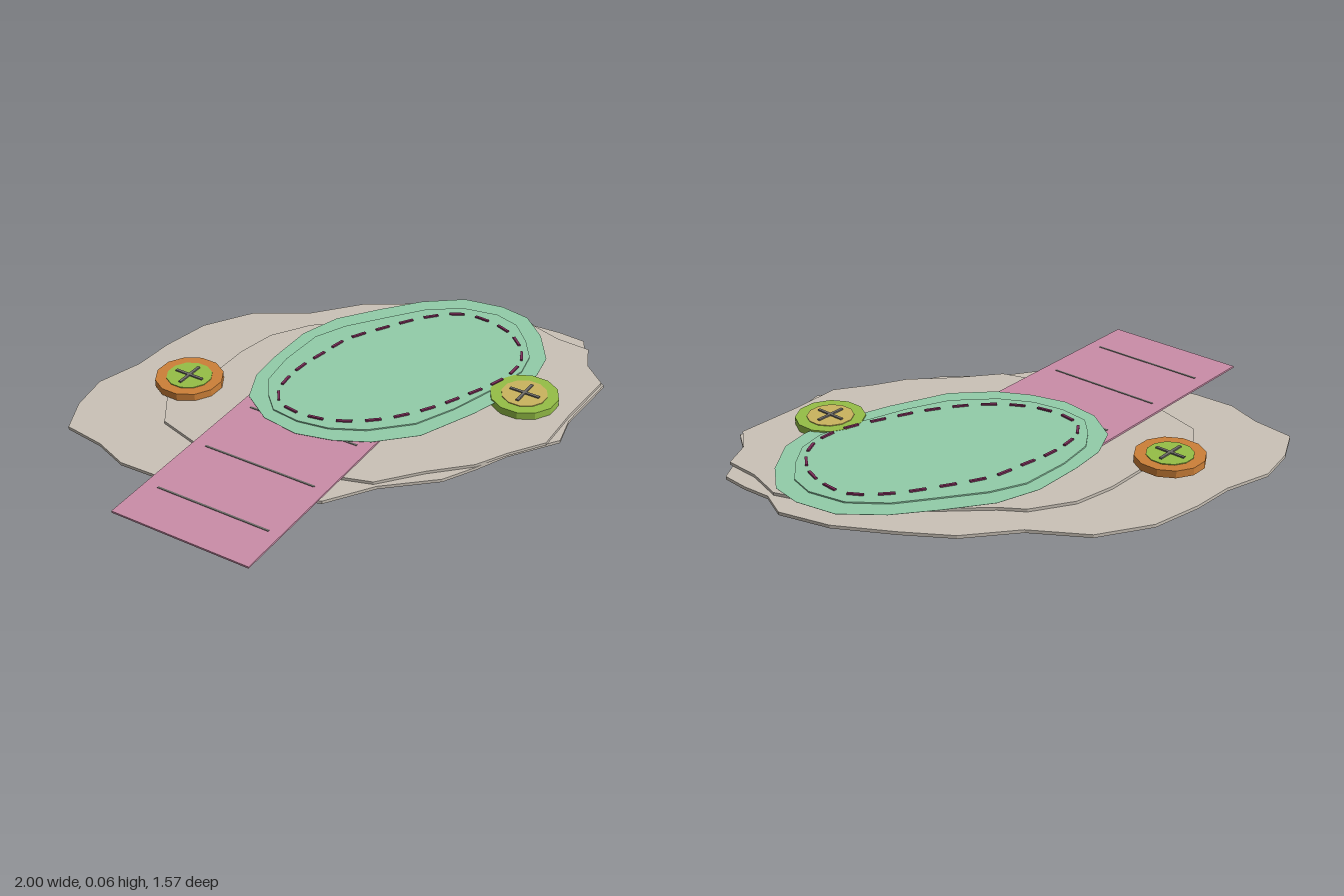
import * as THREE from 'three';

const mat = (name, color, side = THREE.FrontSide) => {
  const m = new THREE.MeshStandardMaterial({ color, side });
  m.name = name;
  return m;
};

// Outlines are [x, z] pairs in hundredths of a unit, seen from above
const BASE = [[-21, -79], [1, -74], [23, -76], [42, -72], [64, -66], [81, -56], [85, -45], [93, -38],
  [100, -30], [95, -11], [97, 1], [77, 20], [70, 31], [49, 35], [36, 40], [23, 44], [0, 43], [-20, 47],
  [-50, 33], [-72, 21], [-84, 10], [-90, -3], [-100, -16], [-95, -30], [-86, -43], [-70, -52],
  [-58, -63], [-42, -74]];
const SECOND = [[-1, -63], [9, -61], [35, -60], [62, -55], [83, -45], [90, -32], [99, -22], [95, -11],
  [96, 1], [77, 19], [64, 33], [49, 36], [36, 40], [18, 40], [-1, 42], [-11, 37], [-32, 28],
  [-57, 6], [-66, -10], [-63, -25], [-43, -38], [-31, -50], [-18, -59]];
const RIM = [[-34, -16], [-29, -29], [-20, -40], [-6, -54], [9, -62], [27, -65], [45, -67], [62, -65],
  [75, -56], [82, -46], [83, -32], [80, -16], [73, -6], [62, 3], [43, 13], [21, 22], [3, 22],
  [-10, 18], [-22, 11], [-31, -1]];
const BODY = [[-27, -15], [-25, -25], [-16, -37], [-2, -50], [11, -55], [30, -58], [44, -60], [59, -58],
  [71, -50], [76, -41], [76, -29], [74, -18], [68, -9], [54, 0], [37, 9], [21, 15], [3, 15],
  [-10, 11], [-20, 4], [-27, -5]];
const SEAM = [[-24, -10], [-22, -18], [-13, -29], [-1, -38], [9, -45], [25, -50], [43, -54], [58, -53],
  [68, -43], [72, -33], [71, -18], [62, -7], [43, 2], [25, 8], [6, 10], [-10, 6], [-21, -3]];

export function createModel() {
  const root = new THREE.Group();
  const cloth = mat('beige cloth', 0xcac2b7);
  const mint = mat('mint cloth', 0x92cda9, THREE.DoubleSide);
  const pink = mat('pink cloth', 0xca8da8);
  const orange = mat('orange', 0xcd8038);
  const lime = mat('lime green', 0x95bf46);
  const tan = mat('tan', 0xcab45e);
  const grey = mat('grey thread', 0x6e6c68);
  const plum = mat('plum thread', 0x7a2c58);

  const add = (name, geometry, material, parent = root) => {
    const mesh = new THREE.Mesh(geometry, material);
    mesh.name = name;
    parent.add(mesh);
    return mesh;
  };

  // Flat sheet cut to an outline, standing from y0 to y1
  const sheet = (name, outline, y0, y1, material) => {
    const shape = new THREE.Shape(outline.map(([x, z]) => new THREE.Vector2(x / 100, -z / 100)));
    const g = new THREE.ExtrudeGeometry(shape, { depth: y1 - y0, bevelEnabled: false });
    g.rotateX(-Math.PI / 2).translate(0, y0, 0);
    return add(name, g, material);
  };

  // Thin bar lying between two points of the ground plan
  const bar = (name, x0, z0, x1, z1, y, width, height, material, parent = root) => {
    const g = new THREE.BoxGeometry(Math.hypot(x1 - x0, z1 - z0), height, width);
    const m = add(name, g, material, parent);
    m.position.set((x0 + x1) / 2, y, (z0 + z1) / 2);
    m.rotation.y = -Math.atan2(z1 - z0, x1 - x0);
    return m;
  };

  // Two stacked ragged scraps
  sheet('lowerScrap', BASE, 0, 0.012, cloth);
  sheet('upperScrap', SECOND, 0.014, 0.025, cloth);

  // Ribbon with three creases, tucked under the patch
  bar('ribbon', -0.705, 0.59, -0.095, -0.035, 0.031, 0.555, 0.007, pink);
  for (let i = 0; i < 3; i++) {
    const d = i * 0.195;
    bar('ribbonCrease', -0.735 + d, 0.3 - d * 1.04, -0.41 + d, 0.617 - d * 1.04, 0.035, 0.008, 0.003, grey);
  }

  // Oval patch: raised body and a thin overhanging rim
  sheet('patchBody', BODY, 0.025, 0.052, mint);
  sheet('patchRim', RIM, 0.046, 0.047, mint);

  // Running stitches spaced evenly along the seam
  const seam = new THREE.CatmullRomCurve3(SEAM.map(([x, z]) => new THREE.Vector3(x / 100, 0, z / 100)), true);
  const count = 24;
  for (let i = 0; i < count; i++) {
    const a = seam.getPointAt(i / count);
    const b = seam.getPointAt((i + 0.55) / count);
    bar('stitch', a.x, a.z, b.x, b.z, 0.054, 0.01, 0.008, plum);
  }

  // Buttons: faceted disc, inset face and crossed thread
  const button = (name, x, z, y0, outer, inner) => {
    const group = new THREE.Group();
    group.name = name;
    group.position.set(x, 0, z);
    root.add(group);
    const disc = (part, r, low, high, material) => {
      const g = new THREE.CylinderGeometry(r, r, high - low, 12).toNonIndexed();
      g.computeVertexNormals();
      add(part, g, material, group).position.y = (low + high) / 2;
    };
    disc('buttonRim', 0.128, y0, 0.053, outer);
    disc('buttonFace', 0.086, 0.05, 0.056, inner);
    for (const s of [-1, 1]) bar('buttonThread', -0.042, -0.042 * s, 0.042, 0.042 * s, 0.058, 0.011, 0.006, grey, group);
  };
  button('leftButton', 0.645, 0.056, 0.025, lime, tan);
  button('rightButton', -0.534, -0.333, 0.025, orange, lime);

  return root;
}
